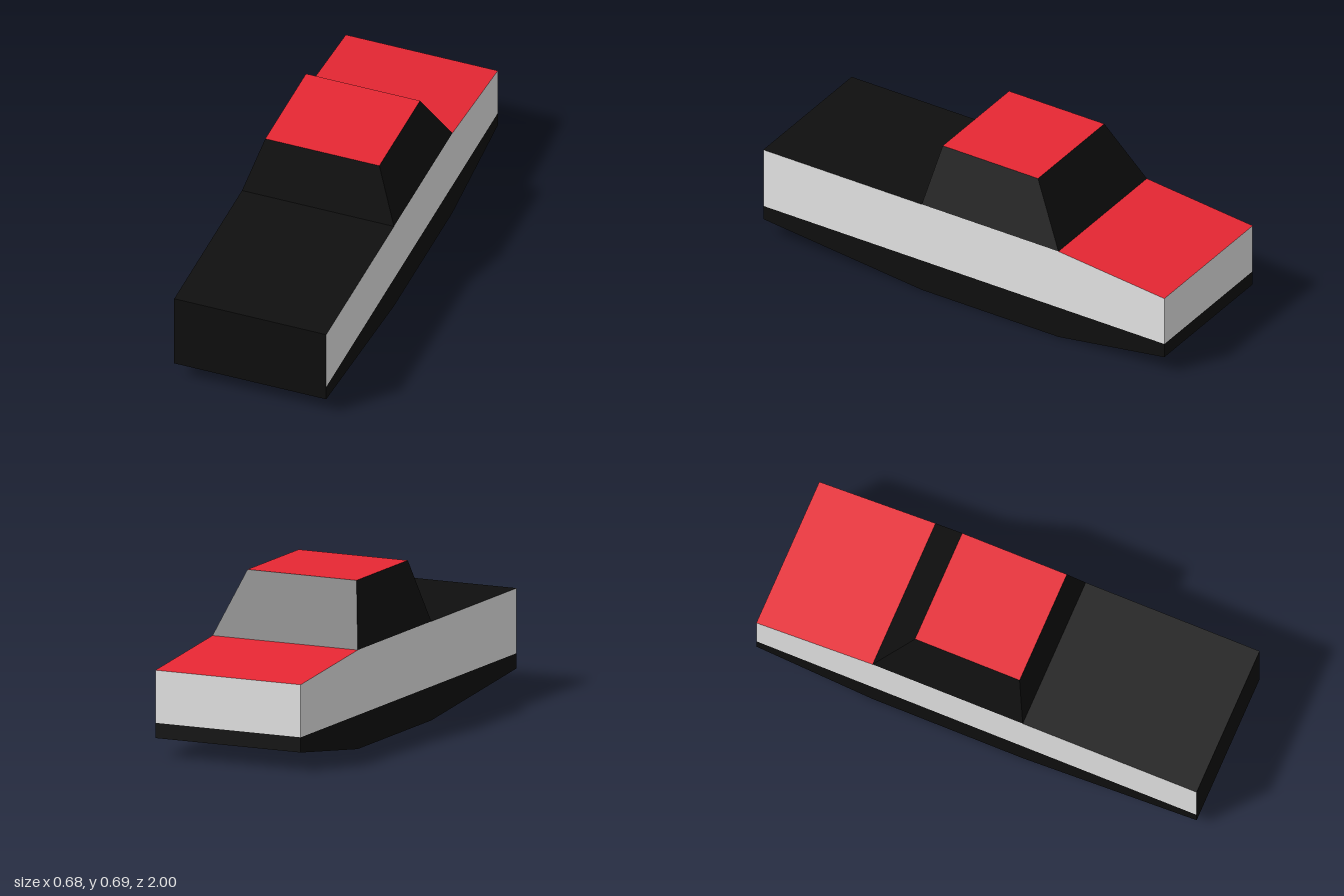
import * as THREE from 'three';

const paint = (name, color) => {
  const m = new THREE.MeshStandardMaterial({ color });
  m.name = name;
  return m;
};

// Prism across x from a convex side profile of [z, y] points, counterclockwise seen from +x.
// edges[i] is the material index of the strip from point i to the next, or -1 for no strip.
function prism(name, profile, halfWidth, materials, capIndex, edges) {
  const pos = [];
  const geo = new THREE.BufferGeometry();
  const add = (corners, index) => {
    const start = pos.length / 3;
    for (let i = 1; i < corners.length - 1; i++) {
      pos.push(...corners[0], ...corners[i], ...corners[i + 1]);
    }
    geo.addGroup(start, pos.length / 3 - start, index);
  };
  const at = (side, [z, y]) => [side * halfWidth, y, z];
  add(profile.map((p) => at(1, p)), capIndex);
  add(profile.map((p) => at(-1, p)).reverse(), capIndex);
  profile.forEach((p, i) => {
    const q = profile[(i + 1) % profile.length];
    if (edges[i] >= 0) add([at(1, p), at(-1, p), at(-1, q), at(1, q)], edges[i]);
  });
  geo.setAttribute('position', new THREE.Float32BufferAttribute(pos, 3));
  geo.computeVertexNormals();
  const mesh = new THREE.Mesh(geo, materials);
  mesh.name = name;
  return mesh;
}

export function createModel() {
  const black = paint('black', 0x0f0f0f);
  const grey = paint('lightGrey', 0xe7e7e7);
  const red = paint('red', 0xe72733);
  const materials = [black, grey, red];
  const halfWidth = 0.341;
  const cabinFront = 0.21, cabinBack = -0.472;
  const deckY = 0.423, seamY = 0.145, roofY = 0.685;

  const model = new THREE.Group();
  model.name = 'car';

  // Underbody with sloping ends
  model.add(prism('underbody', [
    [1, seamY], [1, 0.08], [cabinFront, 0], [cabinBack, 0], [-1, 0.08], [-1, seamY],
  ], halfWidth, materials, 0, [0, 0, 0, 0, 0, -1]));

  // Upper body: grey sides and back, red rear slope, black front deck and front
  model.add(prism('upperBody', [
    [1, seamY], [-1, seamY], [-1, 0.37], [cabinBack, deckY], [1, deckY],
  ], halfWidth, materials, 1, [-1, 1, 2, 0, 0]));

  // Cabin: a box tapered to the roof
  const height = roofY - deckY;
  const cabinGeo = new THREE.BoxGeometry(2 * halfWidth, height, 1);
  const p = cabinGeo.attributes.position;
  for (let i = 0; i < p.count; i++) {
    const top = p.getY(i) > 0, front = p.getZ(i) > 0;
    if (top) p.setX(i, Math.sign(p.getX(i)) * 0.256);
    p.setZ(i, front ? (top ? 0.16 : cabinFront) : (top ? -0.315 : cabinBack));
  }
  const flatCabin = cabinGeo.toNonIndexed();
  flatCabin.computeVertexNormals();
  const cabin = new THREE.Mesh(flatCabin, [black, black, red, black, black, black]);
  cabin.name = 'cabin';
  cabin.position.y = deckY + height / 2;
  model.add(cabin);

  return model;
}
